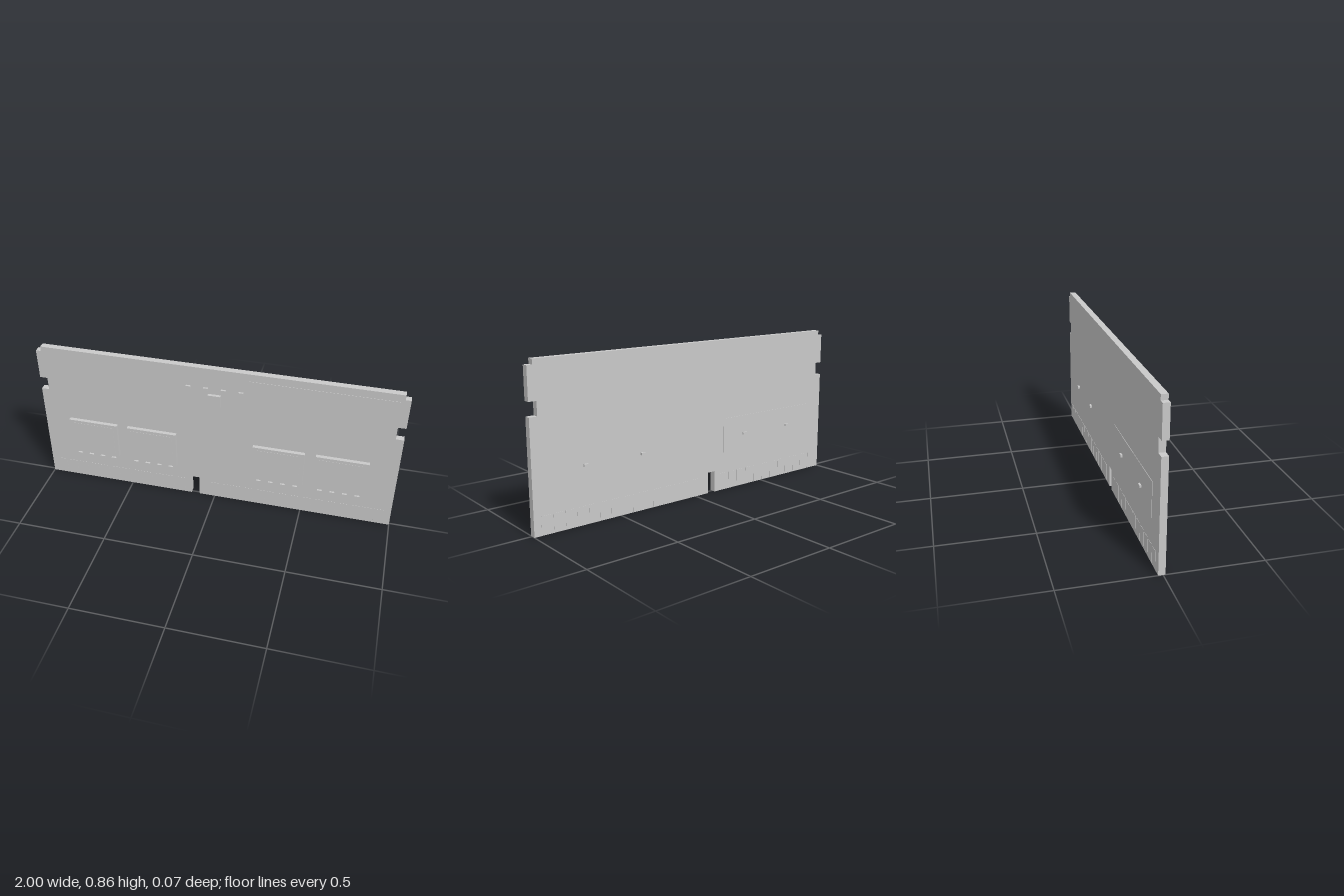
import * as THREE from 'three';

export function createModel() {
  const root = new THREE.Group();
  root.name = 'memoryModule';
  const grey = new THREE.MeshStandardMaterial({ color: 0xc9c9c9 });
  grey.name = 'lightGrey';
  const FRONT = 0.011, BACK = -0.024;

  // box from its limits on each axis
  function block(name, x0, x1, y0, y1, z0, z1, parent = root) {
    const m = new THREE.Mesh(new THREE.BoxGeometry(x1 - x0, y1 - y0, z1 - z0), grey);
    m.position.set((x0 + x1) / 2, (y0 + y1) / 2, (z0 + z1) / 2);
    m.name = name;
    parent.add(m);
  }
  function group(name) {
    const g = new THREE.Group();
    g.name = name;
    root.add(g);
    return g;
  }

  // circuit board with side latches, stepped top corners and key slot
  const side = [[1, 0], [1, 0.59], [0.957, 0.59], [0.957, 0.664], [1, 0.664],
    [1, 0.835], [0.971, 0.835], [0.971, 0.863]];
  const slot = [[-0.138, 0], [-0.138, 0.121], [-0.09, 0.121], [-0.09, 0]];
  const outline = [...side, ...side.map(([x, y]) => [-x, y]).reverse(), ...slot];
  const shape = new THREE.Shape(outline.map(([x, y]) => new THREE.Vector2(x, y)));
  const boardGeo = new THREE.ExtrudeGeometry(shape, { depth: FRONT - BACK, bevelEnabled: false });
  boardGeo.translate(0, 0, BACK);
  const board = new THREE.Mesh(boardGeo, grey);
  board.name = 'board';
  root.add(board);

  // edge contacts on both faces, leaving the key slot free
  const contacts = group('edgeContacts');
  for (let i = 0; i < 29; i++) {
    const x = -0.934 + i * 0.0667;
    if (x + 0.026 > -0.143 && x - 0.026 < -0.085) continue;
    block('frontContact', x - 0.026, x + 0.026, 0.004, 0.1, FRONT - 0.001, FRONT + 0.0013, contacts);
    block('backContact', x - 0.026, x + 0.026, 0.004, 0.1, BACK - 0.0013, BACK + 0.001, contacts);
  }

  // memory chips on solder balls, with capacitors beneath each
  for (const cx of [-0.705, -0.36, 0.36, 0.705]) {
    const chip = group('memoryChip');
    block('chipBody', cx - 0.1425, cx + 0.1425, 0.202, 0.417, 0.0145, 0.036, chip);
    block('chipMarking', cx - 0.12, cx + 0.12, 0.23, 0.4, 0.0355, 0.037, chip);
    for (let i = 0; i < 6; i++) for (const y of [0.23, 0.284, 0.336, 0.386]) {
      const x = cx - 0.11 + i * 0.044;
      block('solderBall', x - 0.007, x + 0.007, y - 0.007, y + 0.007, FRONT - 0.001, 0.016, chip);
    }
    for (let i = 0; i < 4; i++) {
      const x = cx - 0.106 + i * 0.069;
      block('frontCapacitor', x - 0.013, x + 0.013, 0.162, 0.175, FRONT - 0.001, 0.022, chip);
    }
    // back capacitor behind each chip
    block('backCapacitor', cx - 0.013, cx + 0.013, 0.304, 0.317, BACK - 0.012, BACK + 0.001, chip);
  }

  // small controller chip on its base, and its row of capacitors
  const controller = group('controllerChip');
  block('controllerBody', -0.035, 0.035, 0.641, 0.711, 0.0135, 0.031, controller);
  block('controllerBase', -0.033, 0.033, 0.646, 0.706, FRONT - 0.001, 0.015, controller);
  for (const x of [-0.143, -0.048, 0.047, 0.142]) {
    block('topCapacitor', x - 0.013, x + 0.013, 0.734, 0.747, FRONT - 0.001, 0.022, controller);
  }

  // thin stickers on the front and back
  block('frontLabel', 0.185, 0.95, 0.475, 0.82, FRONT - 0.001, FRONT + 0.002);
  block('backLabel', -0.885, -0.2, 0.22, 0.417, BACK - 0.002, BACK + 0.001);

  return root;
}
